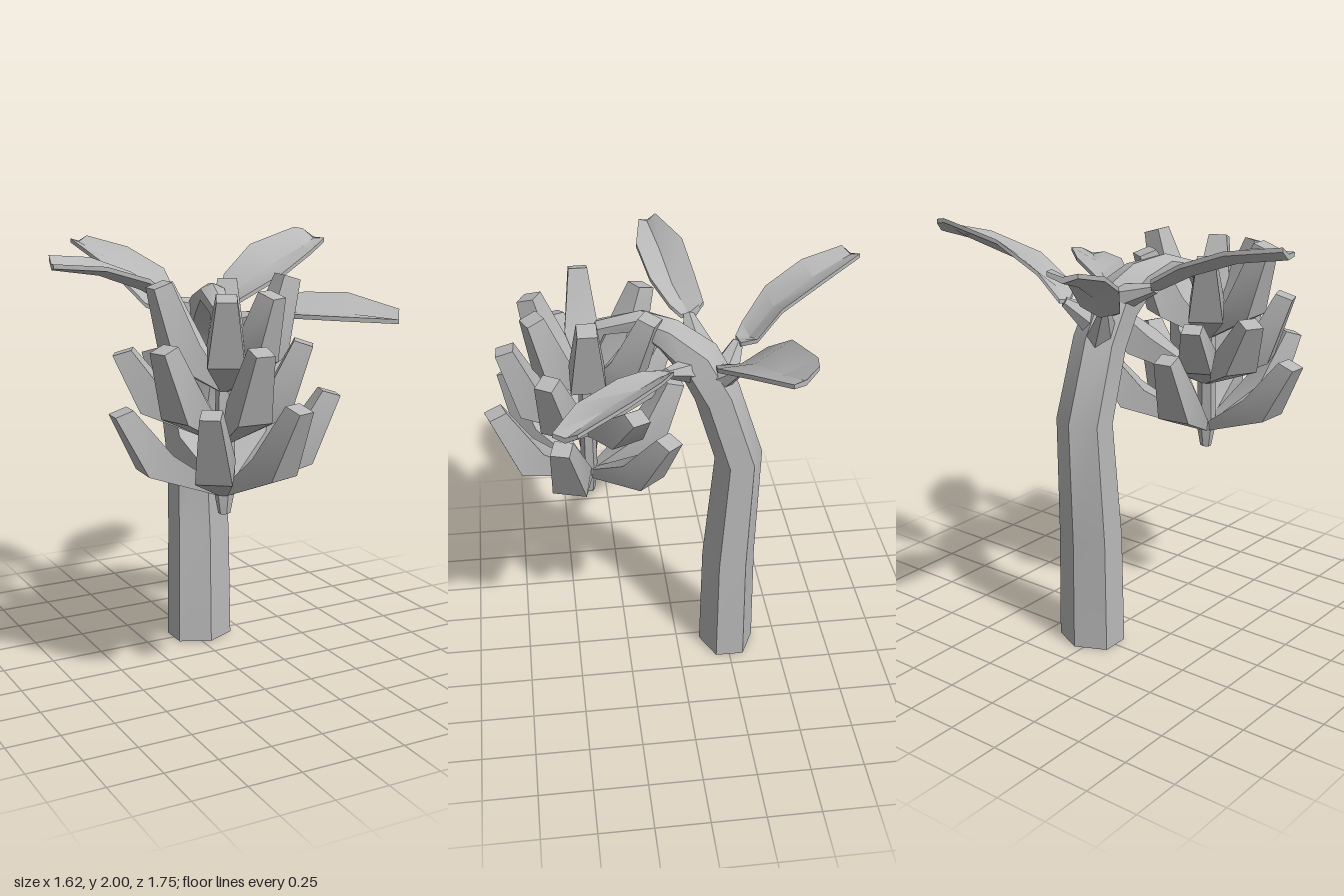
import * as THREE from 'three';
import { toCreasedNormals } from 'three/addons/utils/BufferGeometryUtils.js';

const V = (x, y, z) => new THREE.Vector3(x, y, z);
const grey = new THREE.MeshStandardMaterial({ color: 0xb8b8b8 });
grey.name = 'plain grey';

// Capped skin through a row of matching cross-sections, sharp at the edges
function loft(rings) {
  const pos = [];
  const tri = (...pts) => pts.forEach((p) => pos.push(p.x, p.y, p.z));
  const n = rings[0].length;
  for (let i = 0; i < rings.length - 1; i++) {
    const a = rings[i], b = rings[i + 1];
    for (let j = 0; j < n; j++) {
      const k = (j + 1) % n;
      tri(a[j], a[k], b[k]);
      tri(a[j], b[k], b[j]);
    }
  }
  const s = rings[0], e = rings[rings.length - 1];
  const mid = (r) => r.reduce((m, p) => m.add(p), V(0, 0, 0)).divideScalar(n);
  const ms = mid(s), me = mid(e);
  for (let j = 0; j < n; j++) {
    const k = (j + 1) % n;
    tri(ms, s[k], s[j]);
    tri(me, e[j], e[k]);
  }
  const g = new THREE.BufferGeometry();
  g.setAttribute('position', new THREE.Float32BufferAttribute(pos, 3));
  return toCreasedNormals(g, 0.6);
}

// Six-sided tapering stem along points [x, y, z, radius]
function stem(path, ref) {
  const pts = path.map((p) => V(p[0], p[1], p[2]));
  return loft(pts.map((p, i) => {
    const d = pts[Math.min(i + 1, pts.length - 1)].clone().sub(pts[Math.max(i - 1, 0)]).normalize();
    const side = ref.clone().addScaledVector(d, -ref.dot(d)).normalize();
    const fwd = d.clone().cross(side);
    return Array.from({ length: 6 }, (_, k) => {
      const a = Math.PI / 6 + (k * Math.PI) / 3, r = path[i][3];
      return p.clone().addScaledVector(side, Math.cos(a) * r * 1.08).addScaledVector(fwd, Math.sin(a) * r * 0.88);
    });
  }));
}

// Troughed leaf blade from rows of left and right edge points
function blade(rows) {
  const t = 0.02, sag = [0, 0.035, 0.045, 0.04, 0.025];
  return loft(rows.map(([lx, ly, lz, rx, ry, rz], i) => {
    const L = V(lx, ly, lz), R = V(rx, ry, rz);
    const M = L.clone().add(R).multiplyScalar(0.5);
    M.y -= sag[i];
    const low = (p) => V(p.x, p.y - t, p.z);
    return [L, M, R, low(R), low(M), low(L)];
  }));
}

// Upturned four-sided fruit in its own radial plane (x outward, y up)
function fruit(tipR, rise) {
  const rows = [
    // radius, height, direction (r, y), width, depth
    [0.02, 0, 0.9, 0.45, 0.04, 0.04],
    [tipR * 0.69, 0.165, 0.6, 0.8, 0.165, 0.14],
    [tipR, rise, 0.3, 0.95, 0.09, 0.085],
  ];
  const section = [[0.5, -0.48], [0.5, 0.48], [-0.5, 0.48], [-0.5, -0.48]];
  return loft(rows.map(([r, y, dr, dy, w, h]) =>
    section.map(([a, b]) => V(r + dy * a * h, y - dr * a * h, -b * w))));
}

export function createModel() {
  const model = new THREE.Group();
  model.name = 'fruitingPlant';
  const add = (name, geometry, parent = model) => {
    const m = new THREE.Mesh(geometry, grey);
    m.name = name;
    parent.add(m);
    return m;
  };

  // Trunk bending over into the hanging fruit stalk
  add('trunk', stem([
    [0.04, 0, -0.25, 0.154],
    [0.04, 0.55, -0.254, 0.146],
    [0.04, 1.12, -0.29, 0.128],
    [0.035, 1.47, -0.182, 0.121],
    [0.02, 1.64, -0.095, 0.12],
    [-0.03, 1.74, 0.03, 0.092],
    [-0.09, 1.785, 0.15, 0.058],
    [-0.14, 1.74, 0.32, 0.045],
    [-0.155, 1.55, 0.4, 0.04],
    [-0.16, 0.95, 0.4, 0.045],
    [-0.16, 0.845, 0.4, 0.026],
  ], V(1, 0, 0)));

  // Leaves: stalk root on the trunk, then blade rows
  const leaves = {
    backLeaf: [[0.01, 1.5, -0.2], [
      [-0.13, 1.66, -0.29, -0.04, 1.67, -0.3],
      [-0.2, 1.69, -0.33, -0.01, 1.7, -0.37],
      [-0.29, 1.82, -0.45, -0.03, 1.83, -0.48],
      [-0.36, 1.91, -0.63, -0.13, 1.92, -0.69],
      [-0.38, 1.96, -0.82, -0.27, 1.965, -0.88]]],
    leftLeaf: [[0.06, 1.55, -0.17], [
      [0.17, 1.67, -0.3, 0.16, 1.66, -0.24],
      [0.24, 1.8, -0.365, 0.2, 1.7, -0.15],
      [0.42, 1.93, -0.43, 0.43, 1.82, -0.12],
      [0.7, 2.0, -0.475, 0.65, 1.91, -0.22],
      [0.75, 1.99, -0.47, 0.81, 1.95, -0.36]]],
    rightLeaf: [[0, 1.66, -0.1], [
      [-0.21, 1.74, -0.05, -0.21, 1.75, -0.12],
      [-0.24, 1.78, 0, -0.23, 1.79, -0.155],
      [-0.36, 1.86, 0.075, -0.36, 1.87, -0.13],
      [-0.58, 1.93, 0.115, -0.57, 1.95, -0.1],
      [-0.81, 1.95, 0.08, -0.8, 1.98, 0]]],
    frontLeaf: [[0.04, 1.6, -0.08], [
      [0.18, 1.67, 0.04, 0.16, 1.67, 0.09],
      [0.26, 1.72, 0.04, 0.19, 1.69, 0.17],
      [0.41, 1.76, 0.11, 0.24, 1.69, 0.28],
      [0.56, 1.765, 0.25, 0.42, 1.69, 0.47],
      [0.69, 1.71, 0.48, 0.62, 1.68, 0.58]]],
  };
  for (const [name, [root, rows]] of Object.entries(leaves)) {
    const [a, b, c, d, e, f] = rows[0];
    const end = [(a + d) / 2, (b + e) / 2 - 0.01, (c + f) / 2, 0.025];
    add(name, blade(rows));
    add(name + 'Stalk', stem([[...root, 0.08], end], V(0, 0, 1)));
  }

  // Fruit tiers: base height, then [angle in degrees, tip radius, rise]
  const tiers = [
    [0.95, [[17, 0.47, 0.43], [73, 0.44, 0.44], [125, 0.43, 0.44], [183, 0.48, 0.4], [262, 0.42, 0.44], [320, 0.53, 0.4]]],
    [1.19, [[32, 0.34, 0.43], [93, 0.36, 0.44], [160, 0.37, 0.44], [210, 0.44, 0.38], [246, 0.4, 0.35], [335, 0.47, 0.31]]],
    [1.42, [[0, 0.31, 0.46], [66, 0.25, 0.42], [116, 0.26, 0.42], [180, 0.31, 0.46], [238, 0.33, 0.42], [300, 0.33, 0.42]]],
  ];
  const bunch = new THREE.Group();
  bunch.name = 'fruitBunch';
  bunch.position.set(-0.16, 0, 0.4);
  model.add(bunch);
  for (const [y, list] of tiers) {
    for (const [deg, r, rise] of list) {
      const m = add('fruit', fruit(r, rise), bunch);
      m.position.y = y;
      m.rotation.y = -THREE.MathUtils.degToRad(deg);
    }
  }
  return model;
}
